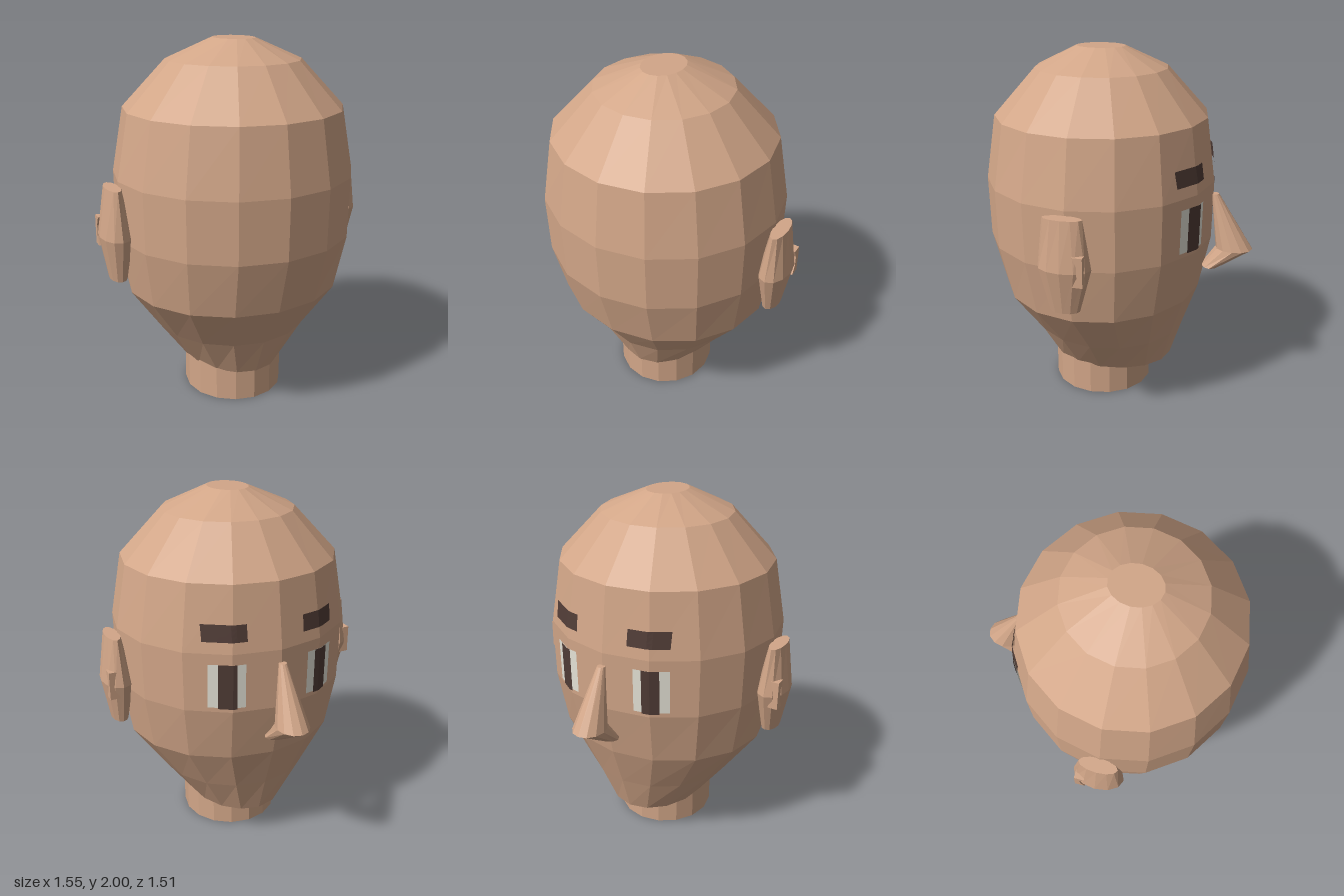
import * as THREE from 'three';

// Head rings, bottom to top: [y, half width, half depth, centre z]
const HEAD = [
  [0.18, 0.275, 0.36, 0.06],
  [0.40, 0.435, 0.44, 0.07],
  [0.65, 0.61, 0.563, 0.107],
  [0.96, 0.66, 0.635, 0.115],
  [1.29, 0.665, 0.64, 0.115],
  [1.64, 0.60, 0.588, 0.112],
  [1.89, 0.365, 0.363, 0.112],
  [2.00, 0.11, 0.135, 0.115],
];
const SIDES = 16;

function facets(positions) {
  const g = new THREE.BufferGeometry();
  g.setAttribute('position', new THREE.Float32BufferAttribute(positions, 3));
  g.computeVertexNormals();
  return g;
}

// Closed faceted loft through elliptical rings [y, rx, rz, cz, cx]
function loft(rings, sides = SIDES) {
  const out = [];
  const pt = ([y, rx, rz, cz, cx = 0], i) => {
    const a = ((i % sides) / sides) * Math.PI * 2;
    return [cx + rx * Math.sin(a), y, cz + rz * Math.cos(a)];
  };
  const tri = (a, b, c) => out.push(...a, ...b, ...c);
  const first = rings[0], last = rings[rings.length - 1];
  for (let i = 0; i < sides; i++) {
    for (let j = 0; j < rings.length - 1; j++) {
      const a = pt(rings[j], i), b = pt(rings[j], i + 1);
      const c = pt(rings[j + 1], i + 1), d = pt(rings[j + 1], i);
      tri(a, b, c);
      tri(a, c, d);
    }
    tri([last[4] || 0, last[0], last[3]], pt(last, i), pt(last, i + 1));
    tri([first[4] || 0, first[0], first[3]], pt(first, i + 1), pt(first, i));
  }
  return facets(out);
}

// Depth of the faceted face surface at (x, y)
function faceZ(x, y) {
  let k = 0;
  while (k < HEAD.length - 2 && HEAD[k + 1][0] < y) k++;
  const t = (y - HEAD[k][0]) / (HEAD[k + 1][0] - HEAD[k][0]);
  const [, rx, rz, cz] = HEAD[k].map((v, i) => v + (HEAD[k + 1][i] - v) * t);
  const step = (Math.PI * 2) / SIDES;
  const ax = Math.abs(x);
  const s = Math.floor(Math.asin(ax / rx) / step);
  const x0 = rx * Math.sin(s * step), x1 = rx * Math.sin((s + 1) * step);
  const u = (ax - x0) / (x1 - x0);
  const z0 = Math.cos(s * step), z1 = Math.cos((s + 1) * step);
  return cz - rz * (z0 + (z1 - z0) * u);
}

// Thin patch that follows the face
function facePatch(x0, x1, y0, y1, lift) {
  const out = [], cols = 8, rows = 3;
  const p = (i, j) => {
    const x = x0 + ((x1 - x0) * i) / cols, y = y0 + ((y1 - y0) * j) / rows;
    return [x * (1 + lift), y, faceZ(x, y) - lift];
  };
  for (let i = 0; i < cols; i++) {
    for (let j = 0; j < rows; j++) {
      const a = p(i + 1, j), b = p(i, j), c = p(i, j + 1), d = p(i + 1, j + 1);
      out.push(...a, ...b, ...c, ...a, ...c, ...d);
    }
  }
  return facets(out);
}

export function createModel() {
  const model = new THREE.Group();
  model.name = 'head';
  const material = (name, color, side = THREE.FrontSide) =>
    Object.assign(new THREE.MeshStandardMaterial({ color, side }), { name });
  const skin = material('skin', 0xd2a688);
  const white = material('eye white', 0xe6e4d8, THREE.DoubleSide);
  const dark = material('dark brown', 0x503c36, THREE.DoubleSide);
  const add = (name, geometry, mat) => {
    const mesh = new THREE.Mesh(geometry, mat);
    mesh.name = name;
    model.add(mesh);
    return mesh;
  };

  // Skull and neck
  add('skull', loft(HEAD), skin);
  add('neck', loft([[0, 0.28, 0.287, 0.117], [0.22, 0.28, 0.287, 0.117]]), skin);

  // Bent, tapering nose
  add('nose', loft([
    [0.80, 0.09, 0.055, -0.53],
    [0.91, 0.088, 0.103, -0.652],
    [1.22, 0.022, 0.02, -0.535],
  ], 12), skin);

  for (const side of [1, -1]) {
    const label = side > 0 ? 'left' : 'right';

    // Ear with a small waisted flap at its front edge
    add(label + 'Ear', loft([
      [0.76, 0.046, 0.08, 0.115, side * 0.686],
      [1.00, 0.085, 0.142, 0.112, side * 0.69],
      [1.265, 0.039, 0.105, 0.115, side * 0.697],
    ], 12), skin);
    const flap = new THREE.Shape([
      [-0.05, 0.93], [0.005, 0.93], [0.005, 1.09], [-0.05, 1.09],
      [-0.025, 1.04], [-0.025, 0.98],
    ].map(([x, y]) => new THREE.Vector2(x, y)));
    const flapGeometry = new THREE.ExtrudeGeometry(flap, { depth: 0.055, bevelEnabled: false });
    flapGeometry.rotateY(Math.PI / 2);
    flapGeometry.translate(side > 0 ? 0.707 : -0.762, 0, 0);
    add(label + 'EarFlap', flapGeometry, skin);

    // Eye and brow, set slightly unevenly on the two sides
    const patch = (name, inner, outer, y0, y1, lift, mat) =>
      add(label + name, facePatch(
        Math.min(side * inner, side * outer), Math.max(side * inner, side * outer), y0, y1, lift), mat);
    const e = side > 0 ? 0.275 : 0.256;
    patch('EyeWhite', e - 0.088, e + 0.088, 0.99, 1.235, 0.009, white);
    patch('Iris', e - 0.043, e + 0.043, 0.985, 1.237, 0.013, dark);
    const b = side > 0 ? 0.28 : 0.238;
    patch('Brow', b - 0.103, b + 0.103, 1.355, 1.445, 0.012, dark);
  }
  return model;
}
